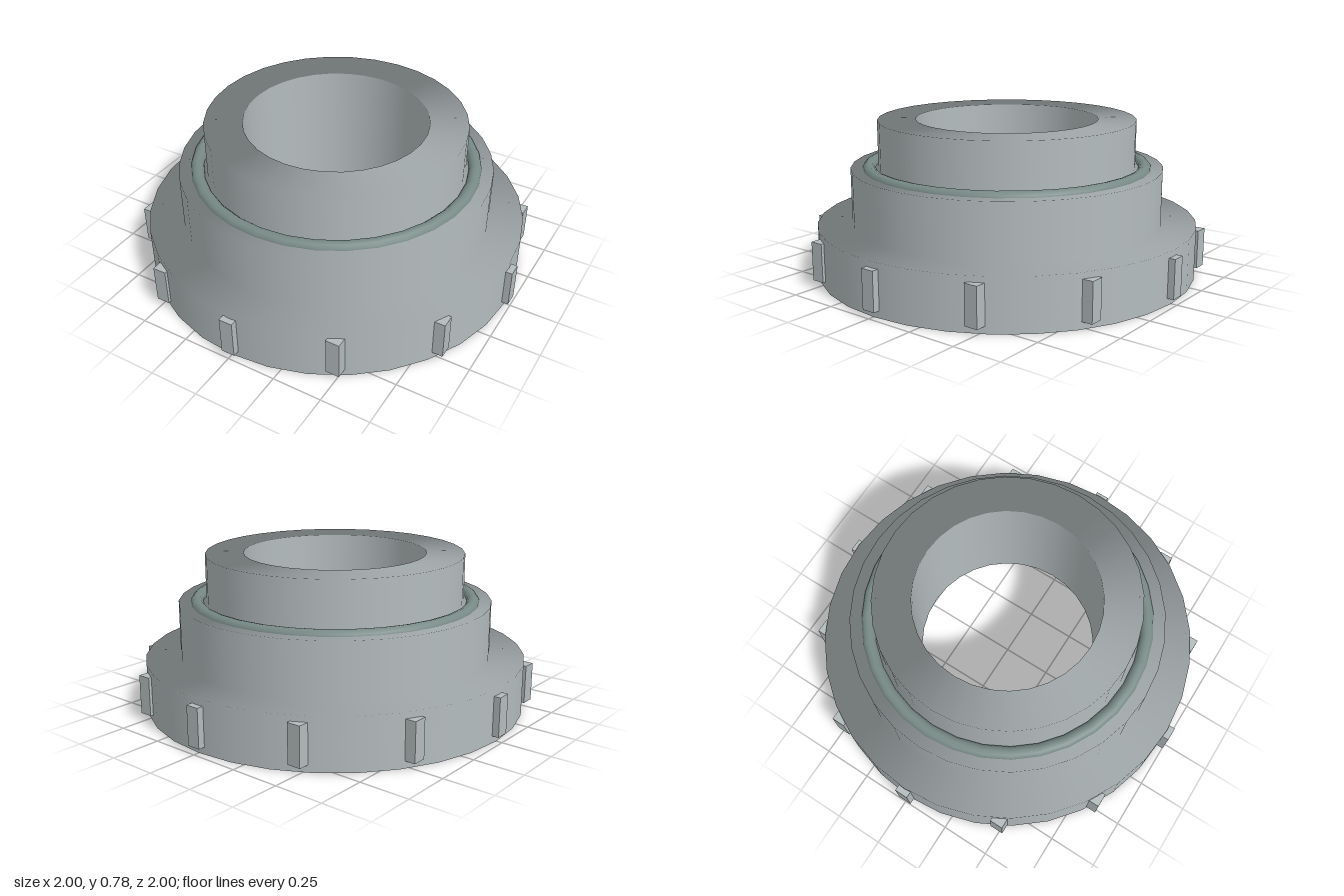
import * as THREE from 'three';

const SEGMENTS = 32;

export function createModel() {
  const group = new THREE.Group();
  group.name = 'flangedCollar';

  const steel = new THREE.MeshStandardMaterial({ color: 0xb4bcbe });
  steel.name = 'steelGrey';
  const rubber = new THREE.MeshStandardMaterial({ color: 0x788a86 });
  rubber.name = 'sealGreen';

  const add = (name, geometry, material) => {
    const mesh = new THREE.Mesh(geometry, material);
    mesh.name = name;
    group.add(mesh);
    return mesh;
  };

  // Turned part with normals that follow the radius, outward (1) or inward (-1)
  const turned = (points, facing) => {
    const geometry = new THREE.LatheGeometry(
      points.map(([r, y]) => new THREE.Vector2(r, y)), SEGMENTS);
    const { position, normal } = geometry.attributes;
    for (let i = 0; i < position.count; i++) {
      const r = Math.hypot(position.getX(i), position.getZ(i));
      normal.setXYZ(i, facing * position.getX(i) / r, 0, facing * position.getZ(i) / r);
    }
    return geometry;
  };

  // Stepped outside: underside rim, flange, body, neck and top face
  add('outerShell', turned([
    [0.75, 0], [0.97, 0], [0.97, 0.26], [0.795, 0.26],
    [0.795, 0.54], [0.655, 0.54], [0.655, 0.78], [0.463, 0.78],
  ], 1), steel);

  // Through bore with a wider recess underneath
  add('innerBore', turned([
    [0.463, 0.78], [0.463, 0.14], [0.75, 0.14], [0.75, 0],
  ], -1), steel);

  // Sealing ring resting on the shoulder
  const seal = add('sealRing', new THREE.TorusGeometry(0.702, 0.035, 12, SEGMENTS), rubber);
  seal.rotation.x = Math.PI / 2;
  seal.position.y = 0.531;

  // Twelve grip tabs around the flange, each squared to its nearest axis
  for (let i = 0; i < 12; i++) {
    const angle = i * Math.PI / 6;
    const x = 0.97 * Math.cos(angle);
    const z = 0.97 * Math.sin(angle);
    const facesSide = Math.abs(x) > Math.abs(z);
    const tab = add('gripTab', new THREE.BoxGeometry(
      facesSide ? 0.06 : 0.07, 0.195, facesSide ? 0.07 : 0.06), steel);
    tab.position.set(x, 0.133, z);
  }

  return group;
}
